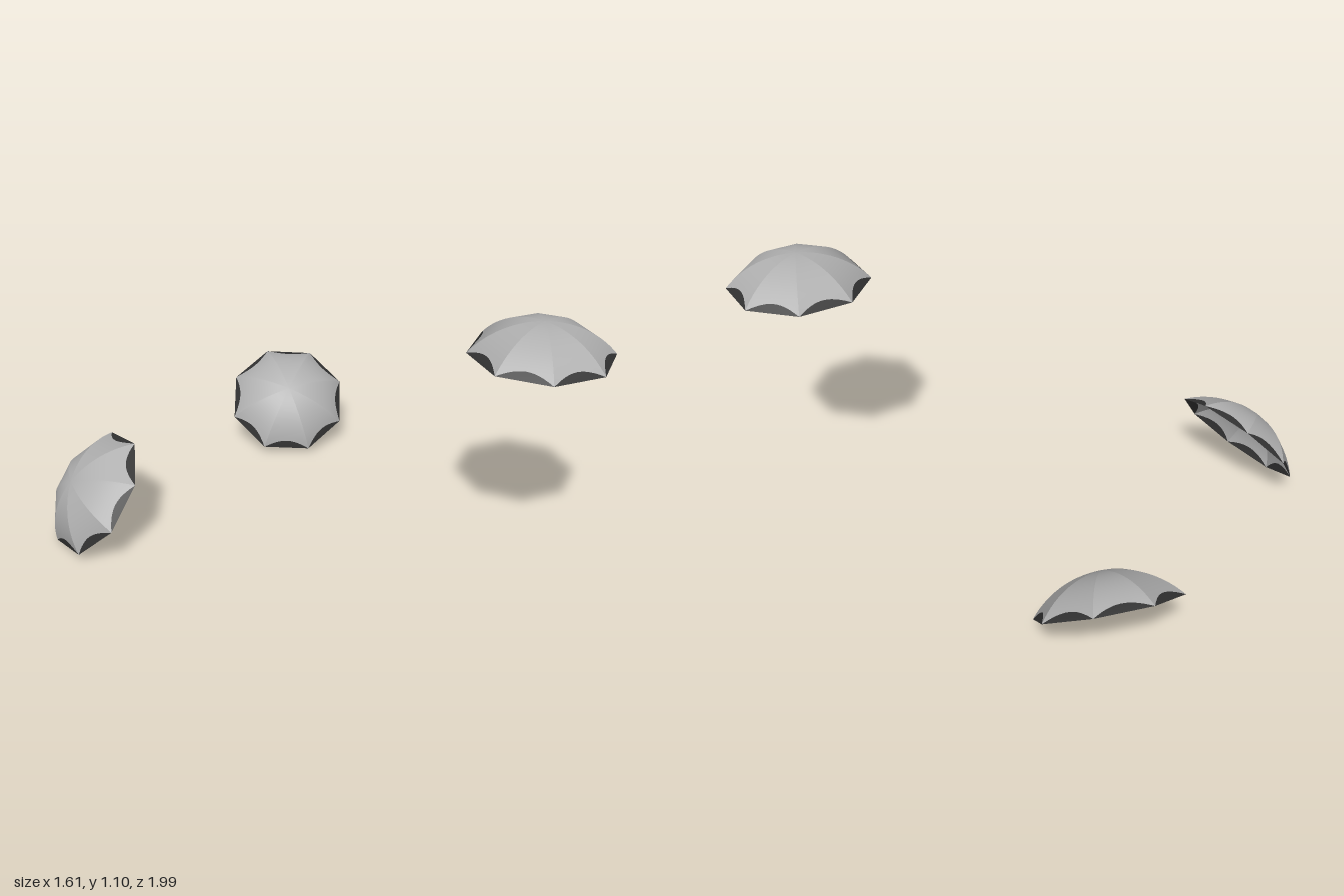
import * as THREE from 'three';
import { mergeGeometries } from 'three/addons/utils/BufferGeometryUtils.js';

const SIDES = 8, RADIUS = 0.275, HEIGHT = 0.128;
const BALL = (RADIUS ** 2 + HEIGHT ** 2) / (2 * HEIGHT); // radius of the sphere the ribs follow
const RIM = Math.asin(RADIUS / BALL);                    // rib angle from tip to rim
const SCALLOP = 0.105;                                   // depth of the trim, as a rib angle

// Rib angle of the scalloped seam; s runs from -1 to 1 between two ribs
const seam = (s) => RIM - SCALLOP * (1 - s * s);

// Grid over one panel, straight from rib to rib, between two rib-angle limits
function panel(index, rows, from, to) {
  const cols = 12, pos = [], faces = [];
  const a0 = (index / SIDES) * Math.PI * 2, a1 = ((index + 1) / SIDES) * Math.PI * 2;
  for (let k = 0; k <= rows; k++) {
    for (let j = 0; j <= cols; j++) {
      const u = j / cols, s = 2 * u - 1;
      const phi = THREE.MathUtils.lerp(from(s), to(s), k / rows);
      const r = BALL * Math.sin(phi);
      pos.push(
        r * THREE.MathUtils.lerp(Math.cos(a0), Math.cos(a1), u),
        BALL * Math.cos(phi) - (BALL - HEIGHT),
        r * THREE.MathUtils.lerp(Math.sin(a0), Math.sin(a1), u));
      if (k < rows && j < cols) {
        const i = k * (cols + 1) + j, o = i + cols + 1;
        faces.push(i, i + 1, o, i + 1, o + 1, o);
      }
    }
  }
  const g = new THREE.BufferGeometry();
  g.setAttribute('position', new THREE.Float32BufferAttribute(pos, 3));
  g.setIndex(faces);
  g.computeVertexNormals();
  return g;
}

// Eight separate panels keep a crease along every rib
function ring(rows, from, to) {
  return mergeGeometries(Array.from({ length: SIDES }, (_, i) => panel(i, rows, from, to)));
}

export function createModel() {
  const fabric = new THREE.MeshStandardMaterial({ color: 0xb0b0b0, side: THREE.DoubleSide });
  fabric.name = 'grey fabric';
  const trim = new THREE.MeshStandardMaterial({ color: 0x333333, side: THREE.DoubleSide });
  trim.name = 'dark trim';

  const clothGeometry = ring(14, () => 1e-4, seam);
  const trimGeometry = ring(3, seam, () => RIM);

  // Rim centre and two perpendicular rib directions of each canopy
  const canopies = [
    ['uprightCanopy', [0.45, 0.98, 0.72], [1, 0, 0], [0, 0, 1]],
    ['leftTiltedCanopy', [0.554, 0.203, -0.77], [0.2475, 0.05, 0.112], [-0.0635, -0.168, 0.21]],
    ['rightTiltedCanopy', [-0.621, 0.2175, -0.6825], [0.1825, 0.1725, -0.117], [0.04, 0.1275, 0.2425]],
  ];

  const model = new THREE.Group();
  model.name = 'umbrellaCanopies';
  for (const [name, centre, ribA, ribB] of canopies) {
    const canopy = new THREE.Group();
    canopy.name = name;
    const cloth = new THREE.Mesh(clothGeometry, fabric);
    cloth.name = 'canopyCloth';
    const edge = new THREE.Mesh(trimGeometry, trim);
    edge.name = 'scallopedTrim';
    canopy.add(cloth, edge);

    const x = new THREE.Vector3(...ribA).normalize();
    const y = new THREE.Vector3(...ribB).cross(x).normalize();
    const z = new THREE.Vector3().crossVectors(x, y);
    canopy.quaternion.setFromRotationMatrix(new THREE.Matrix4().makeBasis(x, y, z));
    canopy.position.set(...centre);
    model.add(canopy);
  }
  return model;
}
